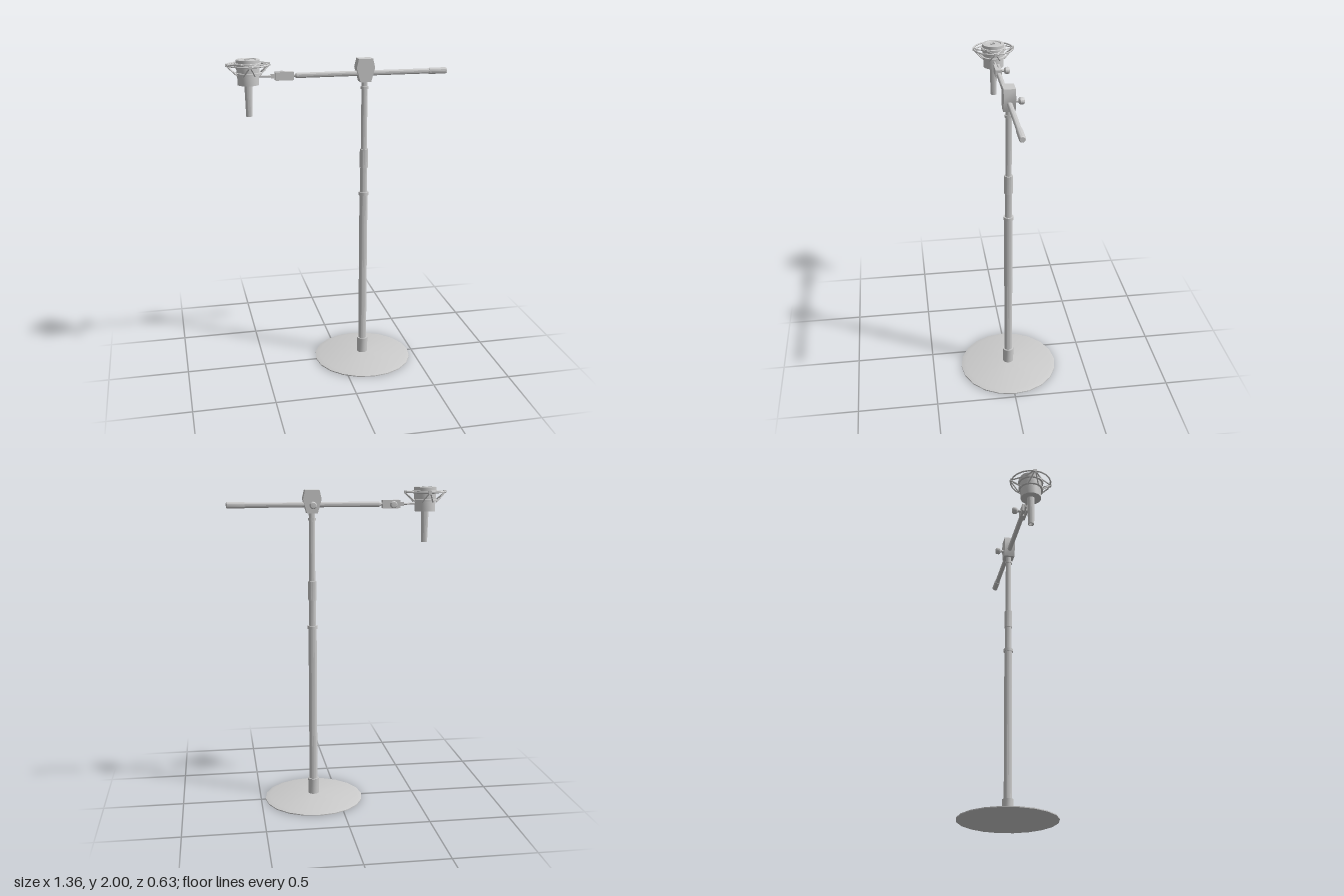
import * as THREE from 'three';
import { toCreasedNormals } from 'three/addons/utils/BufferGeometryUtils.js';

const material = new THREE.MeshStandardMaterial({ color: 0xcccccc });
const POLE_X = 0.157, BOOM_Y = 1.895, MIC_X = -0.55;

function add(parent, name, geometry, x = 0, y = 0, z = 0) {
  const mesh = new THREE.Mesh(toCreasedNormals(geometry, 0.55), material);
  mesh.name = name;
  mesh.position.set(x, y, z);
  parent.add(mesh);
  return mesh;
}

// Revolved profile of [radius, height] pairs, listed from bottom to top
function turned(profile, sides) {
  return new THREE.LatheGeometry(profile.map(([r, y]) => new THREE.Vector2(r, y)), sides);
}

// Straight rod between two points
function rod(parent, name, a, b, radiusA, radiusB = radiusA, sides = 12) {
  const from = new THREE.Vector3(...a), to = new THREE.Vector3(...b);
  const direction = to.clone().sub(from);
  const mesh = add(parent, name, new THREE.CylinderGeometry(radiusB, radiusA, direction.length(), sides));
  mesh.position.copy(from).add(to).multiplyScalar(0.5);
  mesh.quaternion.setFromUnitVectors(new THREE.Vector3(0, 1, 0), direction.normalize());
  return mesh;
}

// Domed thumbscrew pointing to the back
function thumbscrew(parent, name, x, y, z) {
  const profile = [[0, 0], [0.009, 0], [0.009, 0.022], [0.017, 0.025], [0.022, 0.032],
    [0.022, 0.048], [0.017, 0.056], [0, 0.058]];
  add(parent, name, turned(profile, 12), x, y, z).rotation.x = -Math.PI / 2;
}

function buildStand() {
  const stand = new THREE.Group();
  stand.name = 'stand';
  stand.position.x = POLE_X;
  // Shallow domed disc with a bevelled rim
  add(stand, 'base', turned([[0, 0], [0.315, 0], [0.315, 0.006], [0.285, 0.014], [0.03, 0.032], [0, 0.032]], 20));
  // Stacked pole sections: name, radius, bottom, top
  const sections = [
    ['baseSocket', 0.035, 0.025, 0.132],
    ['lowerPole', 0.026, 0.13, 1.13],
    ['lowerCollar', 0.031, 1.125, 1.145],
    ['middlePole', 0.022, 1.14, 1.31],
    ['heightClutch', 0.026, 1.305, 1.425],
    ['upperPole', 0.019, 1.42, 1.86],
    ['upperCollar', 0.024, 1.8, 1.815],
  ];
  for (const [name, r, y0, y1] of sections) rod(stand, name, [0, y0, 0], [0, y1, 0], r, r, 16);
  return stand;
}

function buildBoom() {
  const boom = new THREE.Group();
  boom.name = 'boom';
  boom.position.y = BOOM_Y;
  // Six-sided clamp block on top of the pole
  const outline = [[-0.033, -0.05], [0.033, -0.05], [0.057, 0.035], [0.044, 0.09], [-0.044, 0.09], [-0.057, 0.035]];
  const shape = new THREE.Shape(outline.map(([x, y]) => new THREE.Vector2(x, y)));
  add(boom, 'clamp', new THREE.ExtrudeGeometry(shape, { depth: 0.07, bevelEnabled: false }), POLE_X, 0, -0.035);
  thumbscrew(boom, 'clampScrew', POLE_X, 0, -0.034);
  // Horizontal bar, its end cap and rear grip
  rod(boom, 'bar', [-0.26, 0, 0], [0.66, 0, 0], 0.016);
  rod(boom, 'barTip', [-0.27, 0, 0], [-0.26, 0, 0], 0.012, 0.016);
  rod(boom, 'grip', [0.565, 0, 0], [0.67, 0, 0], 0.0195);
  rod(boom, 'gripEnd', [0.67, 0, 0], [0.677, 0, 0], 0.0195, 0.015);
  // Swivel joint: two cheeks holding the microphone arm
  rod(boom, 'jointPin', [-0.29, 0, 0], [-0.265, 0, 0], 0.009);
  add(boom, 'jointBlock', new THREE.BoxGeometry(0.05, 0.05, 0.038), -0.305, 0, 0);
  for (const side of [-1, 1]) {
    add(boom, 'jointCheek', new THREE.BoxGeometry(0.06, 0.05, 0.013), -0.36, 0, side * 0.0125);
  }
  add(boom, 'jointTongue', new THREE.BoxGeometry(0.08, 0.026, 0.012), -0.375, 0, 0);
  thumbscrew(boom, 'jointScrew', -0.34, 0, -0.018);
  rod(boom, 'microphoneArm', [-0.49, 0.002, 0], [-0.4, 0, 0], 0.006, 0.006, 8);
  return boom;
}

function buildMicrophone() {
  const mic = new THREE.Group();
  mic.name = 'microphone';
  mic.position.x = MIC_X;
  // Ribbed head with a narrow bore through the middle
  add(mic, 'head', turned([
    [0.012, 1.85], [0.064, 1.85], [0.064, 1.912], [0.078, 1.912], [0.078, 1.922],
    [0.068, 1.924], [0.068, 1.958], [0.079, 1.96], [0.079, 1.978], [0.07, 1.98],
    [0.07, 1.998], [0.05, 2], [0.047, 1.995], [0.02, 1.995], [0.018, 2], [0.012, 2], [0.012, 1.85],
  ], 24));
  // Tapered hollow handle
  add(mic, 'handle', turned([[0.012, 1.66], [0.019, 1.66], [0.024, 1.852], [0.012, 1.852], [0.012, 1.66]], 16));

  // Suspension hoop with four pairs of V-shaped struts
  const hoop = new THREE.TorusGeometry(0.125, 0.005, 6, 20).rotateX(Math.PI / 2);
  add(mic, 'suspensionHoop', hoop, 0, 1.968, 0);
  for (let i = 0; i < 4; i++) {
    const strut = new THREE.Group();
    strut.name = 'suspensionStrut';
    strut.rotation.y = i * Math.PI / 2;
    for (const side of [-1, 1]) {
      rod(strut, 'lowerWire', [0.126, 1.964, side * 0.004], [0.066, 1.908, side * 0.034], 0.0045, 0.0045, 6);
      rod(strut, 'upperWire', [0.126, 1.968, side * 0.004], [0.058, 1.972, side * 0.048], 0.0045, 0.0045, 6);
    }
    add(strut, 'hoopClip', new THREE.BoxGeometry(0.014, 0.018, 0.02), 0.125, 1.968, 0);
    mic.add(strut);
  }
  return mic;
}

export function createModel() {
  const model = new THREE.Group();
  model.name = 'microphoneStand';
  model.add(buildStand(), buildBoom(), buildMicrophone());
  return model;
}
